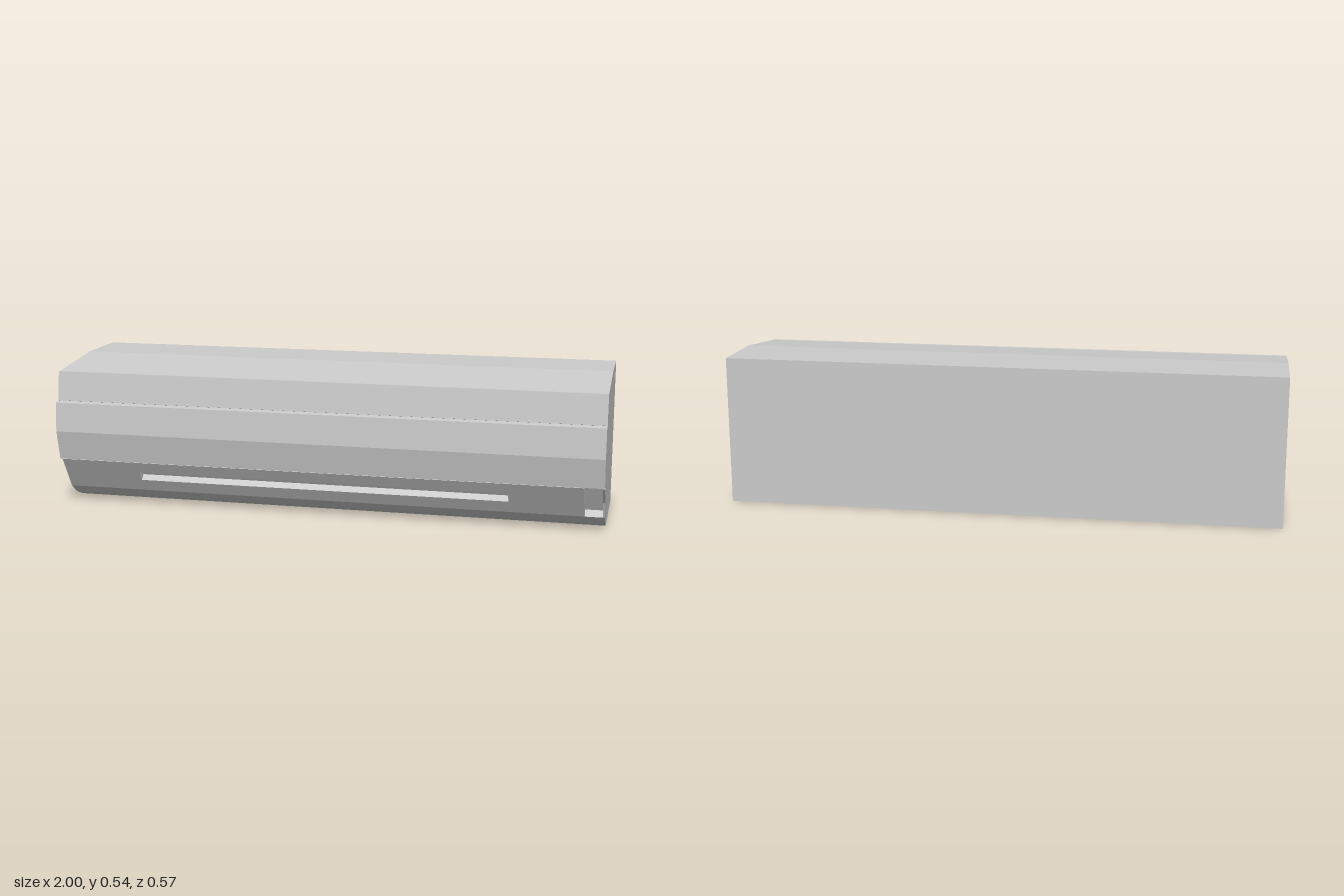
import * as THREE from 'three';

const material = new THREE.MeshStandardMaterial({ color: 0xcccccc, flatShading: true });

// Extrudes a [z, y] profile along x from x0 to x1
function prism(name, profile, x0, x1) {
  const shape = new THREE.Shape(profile.map(([z, y]) => new THREE.Vector2(z, y)));
  const geometry = new THREE.ExtrudeGeometry(shape, { depth: x1 - x0, bevelEnabled: false });
  geometry.rotateY(-Math.PI / 2).translate(x1, 0, 0);
  const mesh = new THREE.Mesh(geometry, material);
  mesh.name = name;
  return mesh;
}

export function createModel() {
  const model = new THREE.Group();
  model.name = 'wallUnit';

  // Recess behind the lower front panel, from its bottom edge to its top edge
  const recess = [[0.168, 0.055], [0.145, 0.075], [0.205, 0.18], [0.232, 0.184]];
  const lip = [0.243, 0.176];

  // Full-length housing with stepped front panels
  model.add(prism('housing', [
    [-0.287, 0], [0.073, 0], [0.125, 0.022],
    ...recess,
    [0.262, 0.182], [0.287, 0.29], [0.281, 0.397], [0.25, 0.4],
    [0.258, 0.402], [0.243, 0.508], [0.232, 0.507], [-0.045, 0.538], [-0.287, 0.538],
  ], -1, 1));

  // Lower flap, with a long groove in its middle section
  const groove = [[0.218, 0.135], [0.189, 0.135], [0.178, 0.118], [0.196, 0.1]];
  model.add(prism('flapRight', [...recess, lip], -1, -0.705));
  model.add(prism('flapGrooved', [...recess, lip, ...groove], -0.705, 0.665));
  model.add(prism('flapLeft', [...recess, lip], 0.665, 0.93));

  // Thin end plate closing the open notch beside the flap
  model.add(prism('endPlate', [...recess, lip, [0.193, 0.115]], 0.993, 1));

  return model;
}
